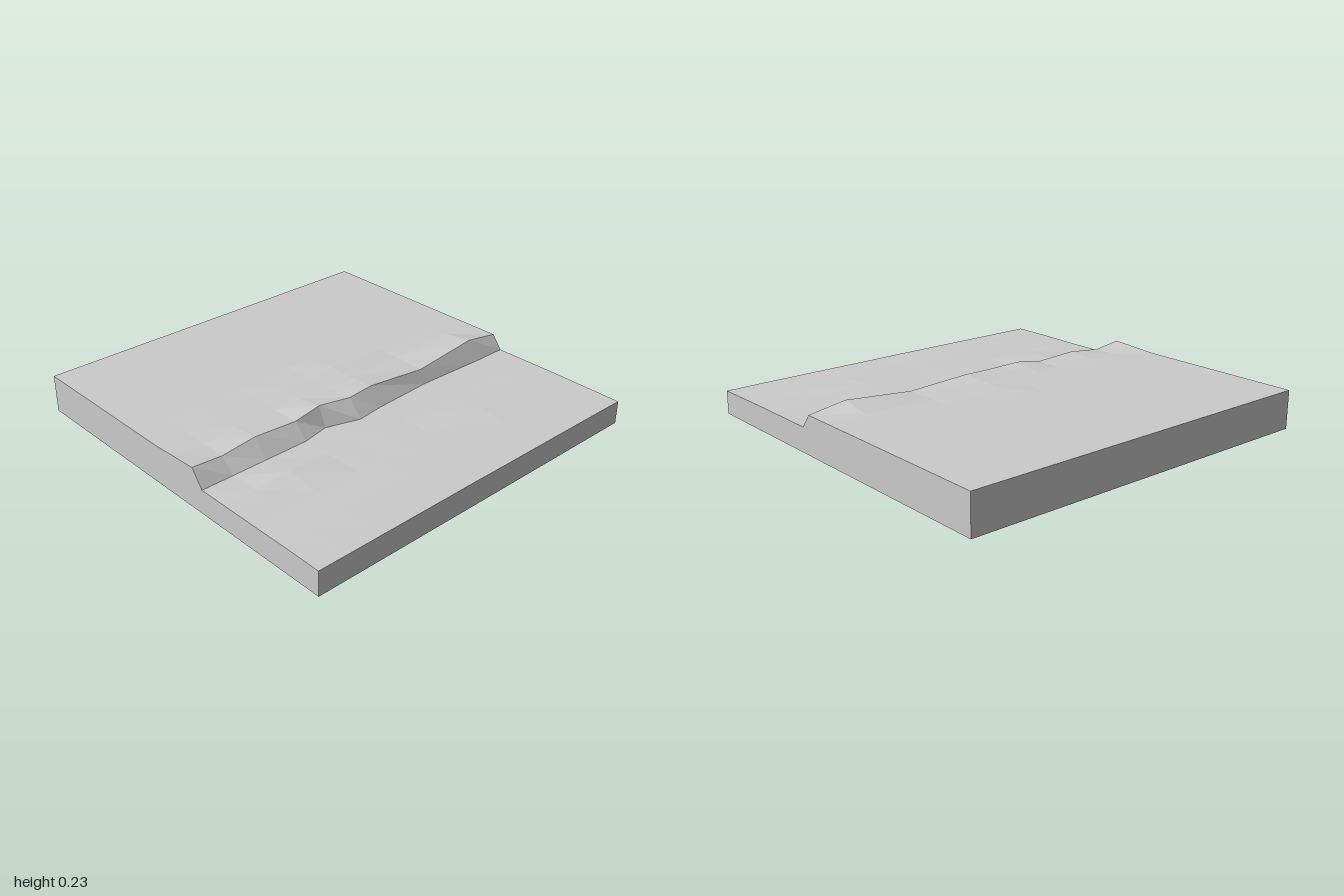
import * as THREE from 'three';

// Columns from left edge to right edge of the tile (x)
const X = [-1, -0.83, -0.64, -0.4, -0.25, -0.07, 0.08, 0.42, 0.8, 1];

// Rows from back to front: z and y, each one value or one per column
const ROWS = [
  { z: -1, y: 0.2 },
  { z: -0.65, y: 0.2 },
  { z: -0.28, y: 0.2 },
  { z: -0.1, y: [0.2, 0.2, 0.203, 0.201, 0.205, 0.206, 0.214, 0.2, 0.2, 0.2] },
  { z: 0.02, y: [0.207, 0.2, 0.206, 0.203, 0.208, 0.207, 0.211, 0.199, 0.208, 0.2] },
  // cliff crest
  { z: [0.175, 0.165, 0.165, 0.168, 0.165, 0.19, 0.18, 0.195, 0.185, 0.185],
    y: [0.215, 0.197, 0.218, 0.205, 0.23, 0.217, 0.222, 0.197, 0.232, 0.2] },
  // cliff foot
  { z: [0.24, 0.24, 0.24, 0.24, 0.21, 0.265, 0.247, 0.228, 0.24, 0.24], y: 0.128 },
  // gentle ripples of the lower ground
  { z: 0.4, y: [0.128, 0.133, 0.145, 0.131, 0.129, 0.13, 0.128, 0.128, 0.128, 0.128] },
  { z: 0.59, y: [0.128, 0.128, 0.128, 0.128, 0.13, 0.133, 0.13, 0.141, 0.131, 0.128] },
  { z: 0.78, y: [0.13, 0.133, 0.135, 0.134, 0.134, 0.133, 0.13, 0.13, 0.128, 0.126] },
  { z: 1, y: [0.128, 0.128, 0.128, 0.128, 0.128, 0.128, 0.127, 0.126, 0.125, 0.123] },
];

const at = (v, i) => (Array.isArray(v) ? v[i] : v);
const top = (i, j) => [X[i], at(ROWS[j].y, i), at(ROWS[j].z, i)];
const base = (i, j) => [X[i], 0, at(ROWS[j].z, i)];

// Mesh from a list of quads, corners counter-clockwise from outside
function quadMesh(name, quads, material) {
  const geometry = new THREE.BufferGeometry();
  const points = quads.flatMap(([a, b, c, d]) => [a, b, c, a, c, d]).flat();
  geometry.setAttribute('position', new THREE.Float32BufferAttribute(points, 3));
  geometry.computeVertexNormals();
  const mesh = new THREE.Mesh(geometry, material);
  mesh.name = name;
  return mesh;
}

export function createModel() {
  const group = new THREE.Group();
  group.name = 'cliffTerrainTile';
  const material = new THREE.MeshStandardMaterial({ color: 0xcccccc, flatShading: true });
  const nx = X.length - 1, nz = ROWS.length - 1, crest = 5;

  // Ground surface, split into plateau, cliff face and lower ground
  const surface = (from, to) => {
    const quads = [];
    for (let j = from; j < to; j++)
      for (let i = 0; i < nx; i++)
        quads.push([top(i, j), top(i, j + 1), top(i + 1, j + 1), top(i + 1, j)]);
    return quads;
  };
  group.add(quadMesh('upperPlateau', surface(0, crest), material));
  group.add(quadMesh('cliffFace', surface(crest, crest + 1), material));
  group.add(quadMesh('lowerGround', surface(crest + 1, nz), material));

  // Side walls down to the flat underside
  const walls = [];
  for (let i = 0; i < nx; i++) {
    walls.push([base(i, nz), base(i + 1, nz), top(i + 1, nz), top(i, nz)]);
    walls.push([base(i + 1, 0), base(i, 0), top(i, 0), top(i + 1, 0)]);
  }
  for (let j = 0; j < nz; j++) {
    walls.push([base(0, j), base(0, j + 1), top(0, j + 1), top(0, j)]);
    walls.push([base(nx, j + 1), base(nx, j), top(nx, j), top(nx, j + 1)]);
  }
  group.add(quadMesh('sideWalls', walls, material));

  // Underside
  group.add(quadMesh('underside', [[base(0, 0), base(nx, 0), base(nx, nz), base(0, nz)]], material));
  return group;
}
